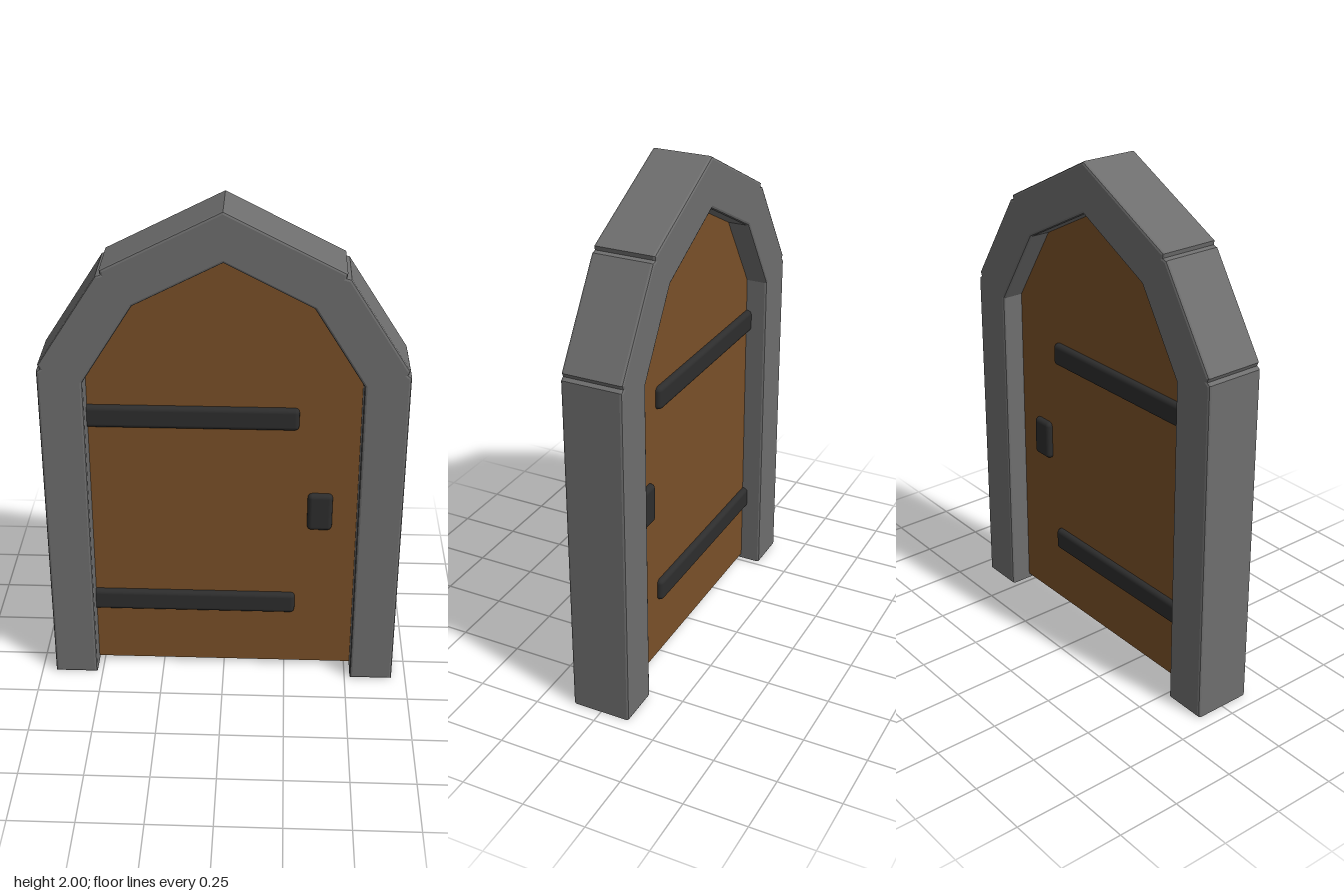
import * as THREE from 'three';
import { RoundedBoxGeometry } from 'three/addons/geometries/RoundedBoxGeometry.js';

const flat = (name, color) => {
  const m = new THREE.MeshStandardMaterial({ color });
  m.name = name;
  return m;
};

// Closes a half outline (from +x foot to apex) by mirroring it across x = 0
const mirrored = (half) => {
  const other = half.filter(([x]) => x > 0).reverse().map(([x, y]) => [-x, y]);
  return [...half, ...other];
};

export function createModel() {
  const stone = flat('stone', 0x6e6e6e);
  const wood = flat('wood', 0x7a5028);
  const iron = flat('iron', 0x2d2d2d);
  const model = new THREE.Group();
  model.name = 'archedDoor';

  const add = (name, geometry, material, x = 0, y = 0, z = 0) => {
    const mesh = new THREE.Mesh(geometry, material);
    mesh.name = name;
    mesh.position.set(x, y, z);
    model.add(mesh);
  };
  const toShape = (pts) => new THREE.Shape(pts.map(([x, y]) => new THREE.Vector2(x, y)));

  // Stone arch: posts and angled beams, with small steps where the stones meet
  const outer = mirrored([
    [0.693, 0], [0.693, 1.375], [0.68, 1.385], [0.687, 1.4],
    [0.457, 1.757], [0.44, 1.762], [0.443, 1.778], [0, 2.003],
  ]);
  const inner = mirrored([[0.522, 0], [0.522, 1.333], [0.33, 1.64], [0, 1.81]]);
  const bevel = 0.01;
  const depth = 0.24;
  const arch = new THREE.ExtrudeGeometry(toShape([...outer, ...inner.reverse()]), {
    depth: depth - 2 * bevel, bevelEnabled: true, bevelSize: bevel,
    bevelThickness: bevel, bevelOffset: -bevel, bevelSegments: 2,
  });
  add('stoneArch', arch, stone, 0, 0, -depth / 2 + bevel);

  // Wooden panel, its edges tucked into the arch
  const panel = mirrored([[0.54, 0.02], [0.54, 1.34], [0.345, 1.655], [0, 1.83]]);
  const panelDepth = 0.066;
  add('doorPanel', new THREE.ExtrudeGeometry(toShape(panel), { depth: panelDepth, bevelEnabled: false }),
    wood, 0, 0, -panelDepth / 2);

  // Iron hinge straps and handle plate, passing through to both sides
  const ironDepth = 0.11;
  for (const [name, y] of [['lowerHingeStrap', 0.315], ['upperHingeStrap', 1.155]]) {
    add(name, new RoundedBoxGeometry(0.835, 0.092, ironDepth, 2, 0.018), iron, -0.13, y);
  }
  add('handlePlate', new RoundedBoxGeometry(0.098, 0.162, ironDepth, 2, 0.018), iron, 0.377, 0.748);

  return model;
}
